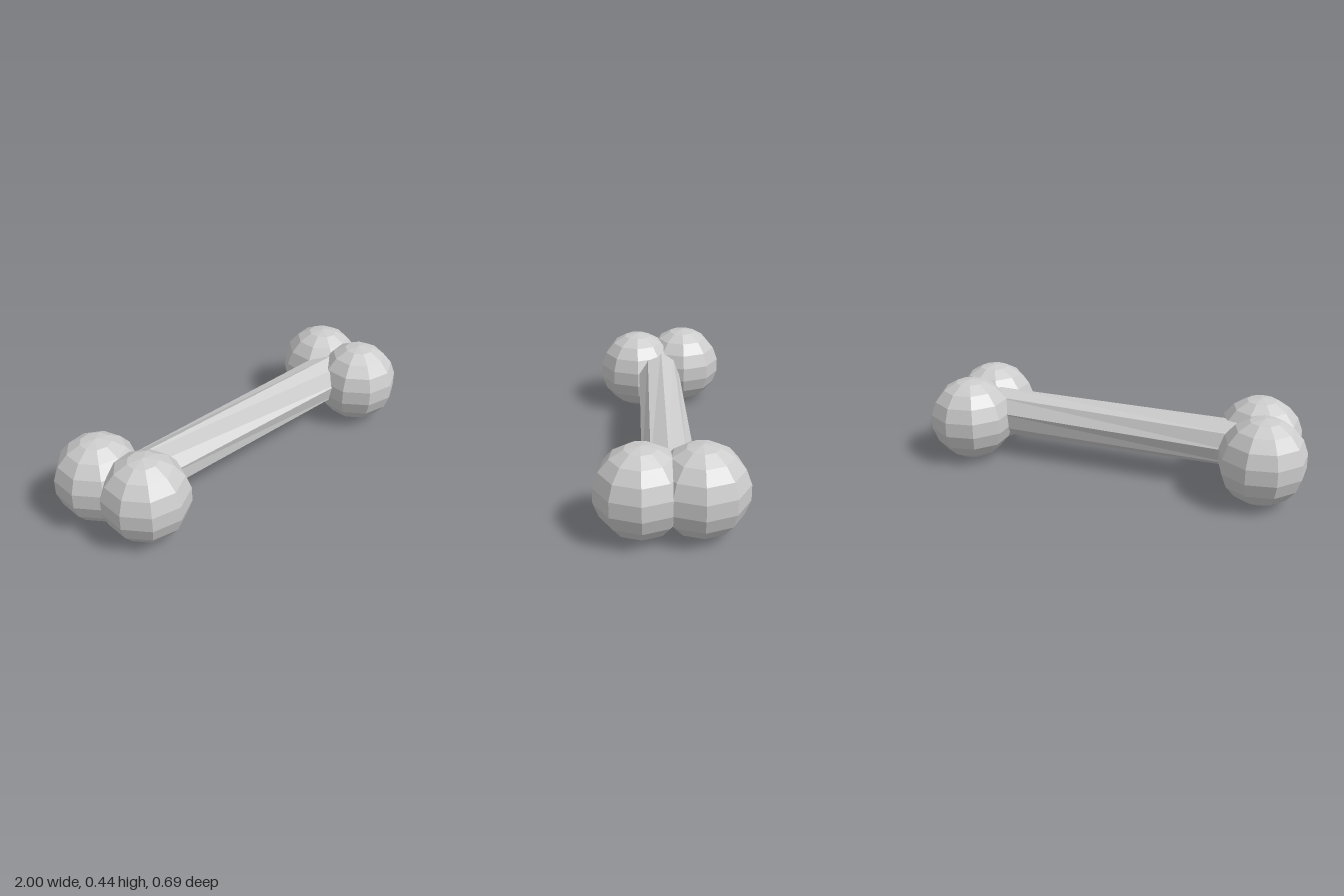
import * as THREE from 'three';

export function createModel() {
  const group = new THREE.Group();
  const material = new THREE.MeshStandardMaterial({ color: 0xcccccc, flatShading: true });
  const add = (name, geometry) => {
    const mesh = new THREE.Mesh(geometry, material);
    mesh.name = name;
    group.add(mesh);
    return mesh;
  };

  // Knobs: four low-poly balls, two overlapping at each end
  const radius = 0.219;
  const knobs = [
    ['leftFrontKnob', 0.784, 0.135],
    ['leftBackKnob', 0.784, -0.135],
    ['rightFrontKnob', -0.727, 0.135],
    ['rightBackKnob', -0.797, -0.135],
  ];
  for (const [name, x, z] of knobs) {
    const ball = new THREE.SphereGeometry(radius, 9, 9).rotateY(Math.PI);
    add(name, ball).position.set(x, radius, z);
  }

  // Shaft: nine-sided bar, slightly twisted and widening towards +x
  const half = 0.72;
  const shaft = new THREE.CylinderGeometry(1, 1, 2 * half, 9).rotateZ(-Math.PI / 2);
  const p = shaft.attributes.position;
  for (let i = 0; i < p.count; i++) {
    const t = (p.getX(i) + half) / (2 * half);
    const r = THREE.MathUtils.lerp(0.119, 0.127, t);
    const a = THREE.MathUtils.degToRad(THREE.MathUtils.lerp(19, 7, t));
    const y = p.getY(i), z = p.getZ(i);
    p.setY(i, THREE.MathUtils.lerp(0.224, 0.23, t) + r * (y * Math.cos(a) + z * Math.sin(a)));
    p.setZ(i, THREE.MathUtils.lerp(0.013, 0.004, t) + r * (z * Math.cos(a) - y * Math.sin(a)));
  }
  shaft.computeVertexNormals();
  add('shaft', shaft);

  return group;
}
